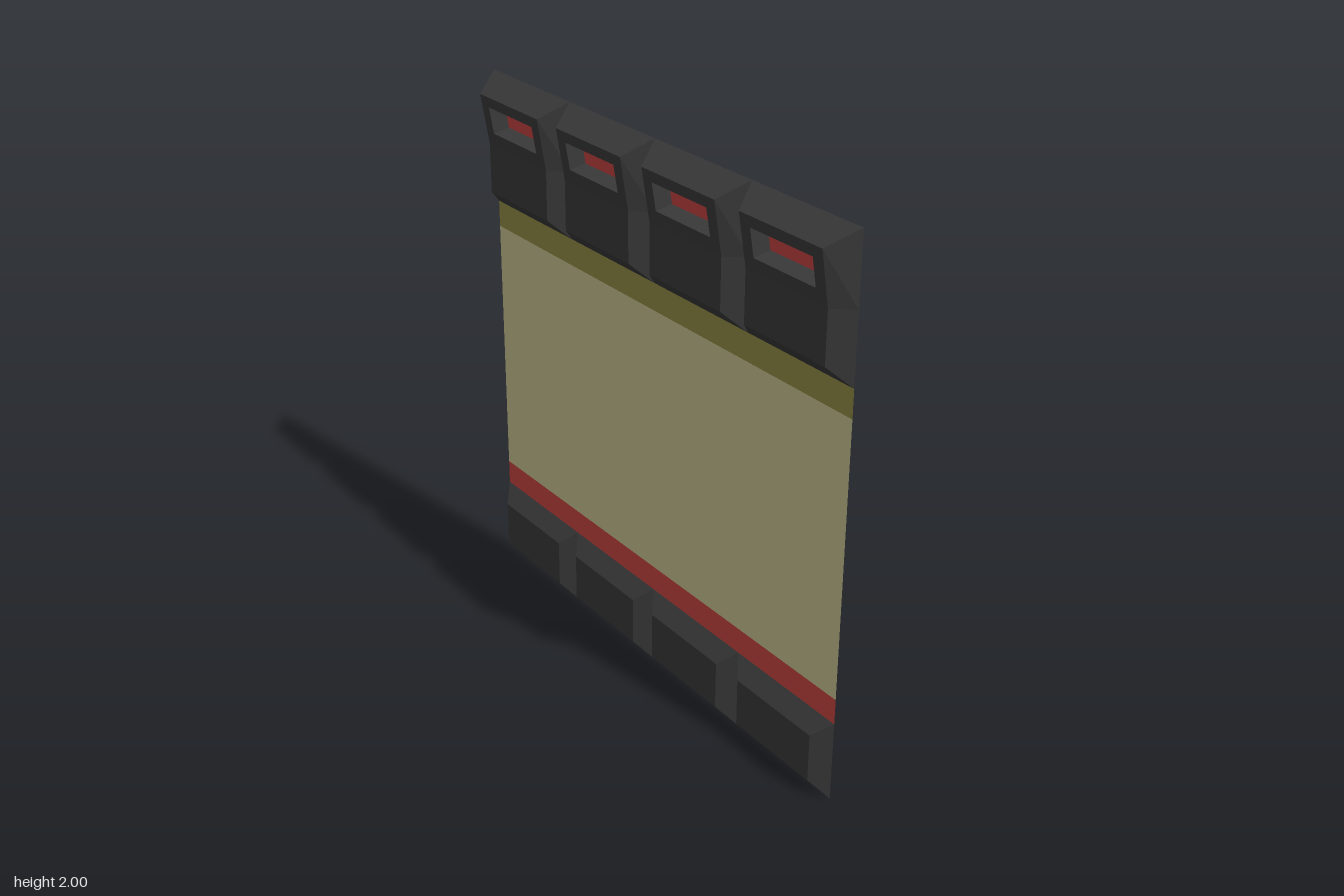
import * as THREE from 'three';

const material = (name, color) => {
  const m = new THREE.MeshStandardMaterial({ color, side: THREE.DoubleSide, flatShading: true });
  m.name = name;
  return m;
};

// Mesh from quads, each listing four corners anticlockwise from outside
function quadMesh(name, quads, mat) {
  const points = quads.flatMap(([a, b, c, d]) => [a, b, c, a, c, d]).flat();
  const geometry = new THREE.BufferGeometry();
  geometry.setAttribute('position', new THREE.Float32BufferAttribute(points, 3));
  geometry.computeVertexNormals();
  const mesh = new THREE.Mesh(geometry, mat);
  mesh.name = name;
  return mesh;
}

// Strips joining two rings of four corners
const bridge = (outer, inner) => outer.map((p, i) => {
  const j = (i + 1) % 4;
  return [p, outer[j], inner[j], inner[i]];
});

const BACK = -0.05, HALF = 0.25, INNER = 0.19;

// Rectangle on a surface whose depth depends on height
const ring = (hx, y0, y1, z) => [[-hx, y0, z(y0)], [hx, y0, z(y0)], [hx, y1, z(y1)], [-hx, y1, z(y1)]];

export function createModel() {
  const model = new THREE.Group();
  const dark = material('charcoal', 0x3a3a3a);
  const red = material('red', 0xcb4641);
  const olive = material('olive', 0x949046);
  const beige = material('beige', 0xccc693);

  // Flat wall bands
  const band = (name, y0, y1, mat) => {
    const mesh = new THREE.Mesh(new THREE.PlaneGeometry(2, y1 - y0), mat);
    mesh.name = name;
    mesh.position.set(0, (y0 + y1) / 2, BACK);
    model.add(mesh);
  };
  band('lowerStripe', 0.3, 0.395, red);
  band('wallField', 0.395, 1.4, beige);
  band('upperStripe', 1.4, 1.5, olive);

  // Bevelled base panel, open at the back
  const baseFace = ring(INNER, 0.06, 0.24, () => 0);
  const baseQuads = [...bridge(ring(HALF, 0, 0.3, () => BACK), baseFace), baseFace];

  // Top panel: vertical below the crease, leaning forward above it
  const CREASE = 1.75, LOW = 0.015, HIGH = 0.047, TOP = 1.94;
  const slope = (HIGH - LOW) / (TOP - CREASE);
  const lean = (y) => LOW + (y - CREASE) * slope;
  const flat = () => LOW;
  const rear = () => BACK;
  const lower = ring(INNER, 1.565, CREASE, flat);
  const upper = ring(INNER, CREASE, TOP, lean);
  const lowerBevel = bridge(ring(HALF, 1.5, CREASE, rear), lower);
  const upperBevel = bridge(ring(HALF, CREASE, 2, rear), upper);

  // Window recess pushed in square to the leaning face
  const DEPTH = 0.065;
  const normal = new THREE.Vector3(0, -slope, 1).normalize();
  const opening = ring(0.143, 1.8, 1.9, lean);
  const pane = opening.map(([x, y, z]) => [x, y - normal.y * DEPTH, z - normal.z * DEPTH]);
  const topQuads = [
    lower, lowerBevel[0], lowerBevel[1], lowerBevel[3],
    upperBevel[1], upperBevel[2], upperBevel[3],
    ...bridge(upper, opening), ...bridge(opening, pane),
  ];

  // Four matching bays
  for (let i = 0; i < 4; i++) {
    const bay = new THREE.Group();
    bay.name = `bay${i + 1}`;
    bay.position.x = -0.75 + i * 0.5;
    bay.add(
      quadMesh('basePanel', baseQuads, dark),
      quadMesh('topPanel', topQuads, dark),
      quadMesh('windowPane', [pane], red),
    );
    model.add(bay);
  }
  return model;
}
